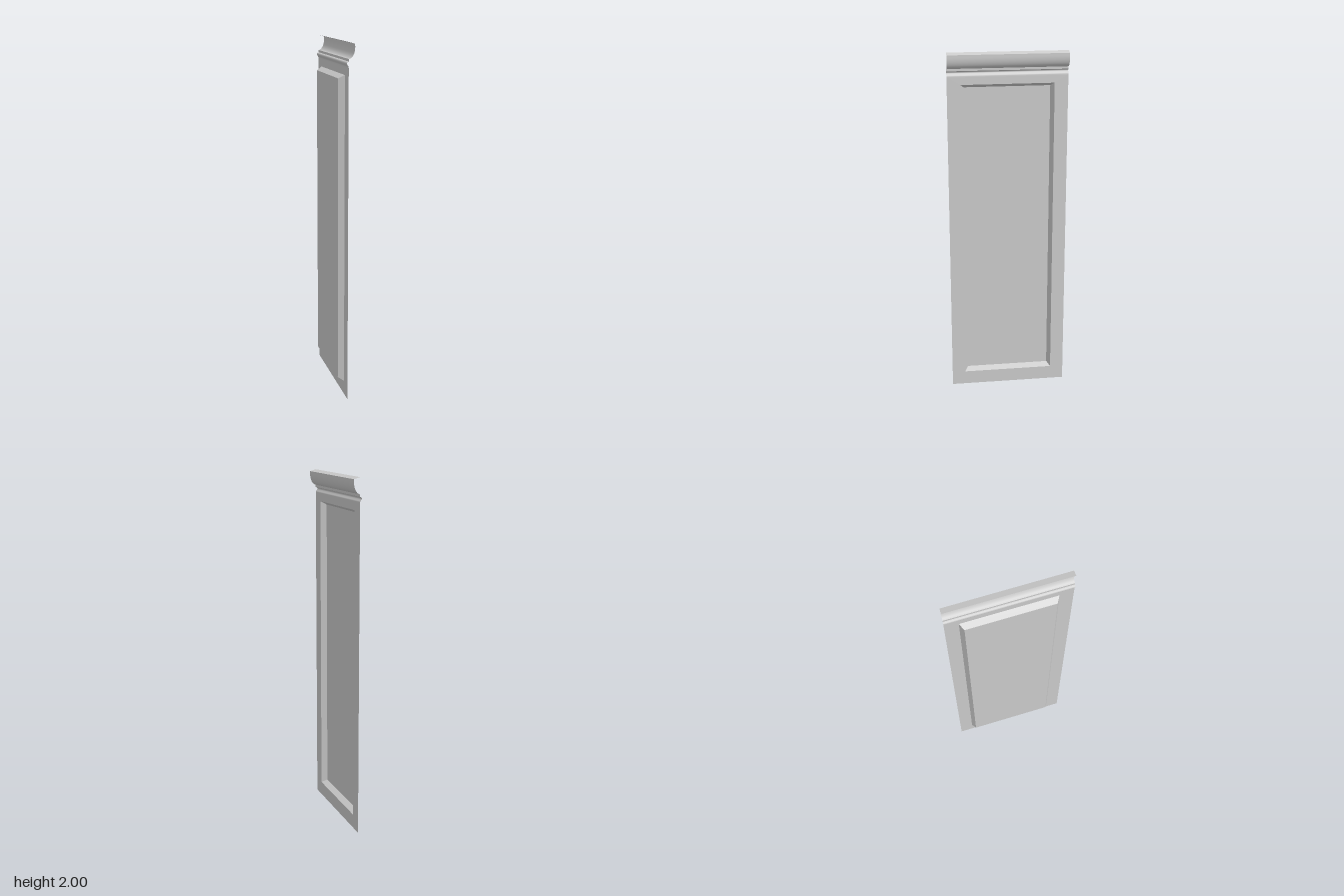
import * as THREE from 'three';

// Local frame: x runs along the width, y is up, z is the outward face of the panel.
const HALF = 0.336;
const FACE = -0.002;
const PANEL = -0.034;
const FRAME_TOP = 1.865;

const material = new THREE.MeshStandardMaterial({ color: 0xcccccc, side: THREE.DoubleSide });

function rectangle(PathType, halfWidth, bottom, top) {
  return new PathType([
    new THREE.Vector2(-halfWidth, bottom),
    new THREE.Vector2(halfWidth, bottom),
    new THREE.Vector2(halfWidth, top),
    new THREE.Vector2(-halfWidth, top),
  ]);
}

function corners(halfWidth, bottom, top, z) {
  return [[-halfWidth, bottom, z], [halfWidth, bottom, z], [halfWidth, top, z], [-halfWidth, top, z]];
}

// Four flat sloping faces between an outer and an inner rectangle
function bevelRing(outer, inner) {
  const positions = [];
  for (let i = 0; i < 4; i++) {
    const j = (i + 1) % 4;
    positions.push(...outer[i], ...outer[j], ...inner[j], ...outer[i], ...inner[j], ...inner[i]);
  }
  const geometry = new THREE.BufferGeometry();
  geometry.setAttribute('position', new THREE.Float32BufferAttribute(positions, 3));
  geometry.computeVertexNormals();
  return geometry;
}

// Sweeps a [depth, height] profile, listed bottom to top, across the full width
function moulding(points, smooth) {
  let profile = points.map(([z, y]) => new THREE.Vector3(0, y, z));
  if (smooth) profile = new THREE.CatmullRomCurve3(profile, false, 'centripetal').getPoints(20);
  const positions = [];
  const indices = [];
  profile.forEach((p, i) => {
    positions.push(-HALF, p.y, p.z, HALF, p.y, p.z);
    if (i === 0) return;
    const a = 2 * (i - 1);
    indices.push(a, a + 1, a + 3, a, a + 3, a + 2);
  });
  const geometry = new THREE.BufferGeometry();
  geometry.setAttribute('position', new THREE.Float32BufferAttribute(positions, 3));
  geometry.setIndex(indices);
  geometry.computeVertexNormals();
  return geometry;
}

export function createModel() {
  const group = new THREE.Group();
  group.name = 'wallPanel';
  const add = (name, geometry) => {
    const mesh = new THREE.Mesh(geometry, material);
    mesh.name = name;
    group.add(mesh);
  };

  // Flat border with the opening for the recess
  const border = rectangle(THREE.Shape, HALF, 0, FRAME_TOP);
  border.holes.push(rectangle(THREE.Path, 0.26, 0.08, 1.823));
  add('frame', new THREE.ShapeGeometry(border).translate(0, 0, FACE));

  // Sloping sides and floor of the recess
  add('recessBevel', bevelRing(corners(0.26, 0.08, 1.823, FACE), corners(0.241, 0.099, 1.804, PANEL)));
  add('recessPanel', new THREE.ShapeGeometry(rectangle(THREE.Shape, 0.241, 0.099, 1.804)).translate(0, 0, PANEL));

  // Lower groove, small step, rounded crown and sloping lid
  add('crownGroove', moulding([
    [FACE, FRAME_TOP], [-0.003, 1.873], [-0.009, 1.882], [-0.012, 1.889], [-0.008, 1.896], [0, 1.899],
  ], true));
  add('crownStep', moulding([[0, 1.899], [0, 1.912]], false));
  add('crownRound', moulding([
    [0, 1.912], [0.009, 1.916], [0.02, 1.927], [0.028, 1.944], [0.032, 1.965], [0.032, 1.99],
  ], true));
  add('crownLid', moulding([[0.032, 1.99], [FACE, 2]], false));

  // Turn the outward face toward +x
  group.rotation.y = Math.PI / 2;
  const model = new THREE.Group();
  model.name = 'panelModel';
  model.add(group);
  return model;
}
